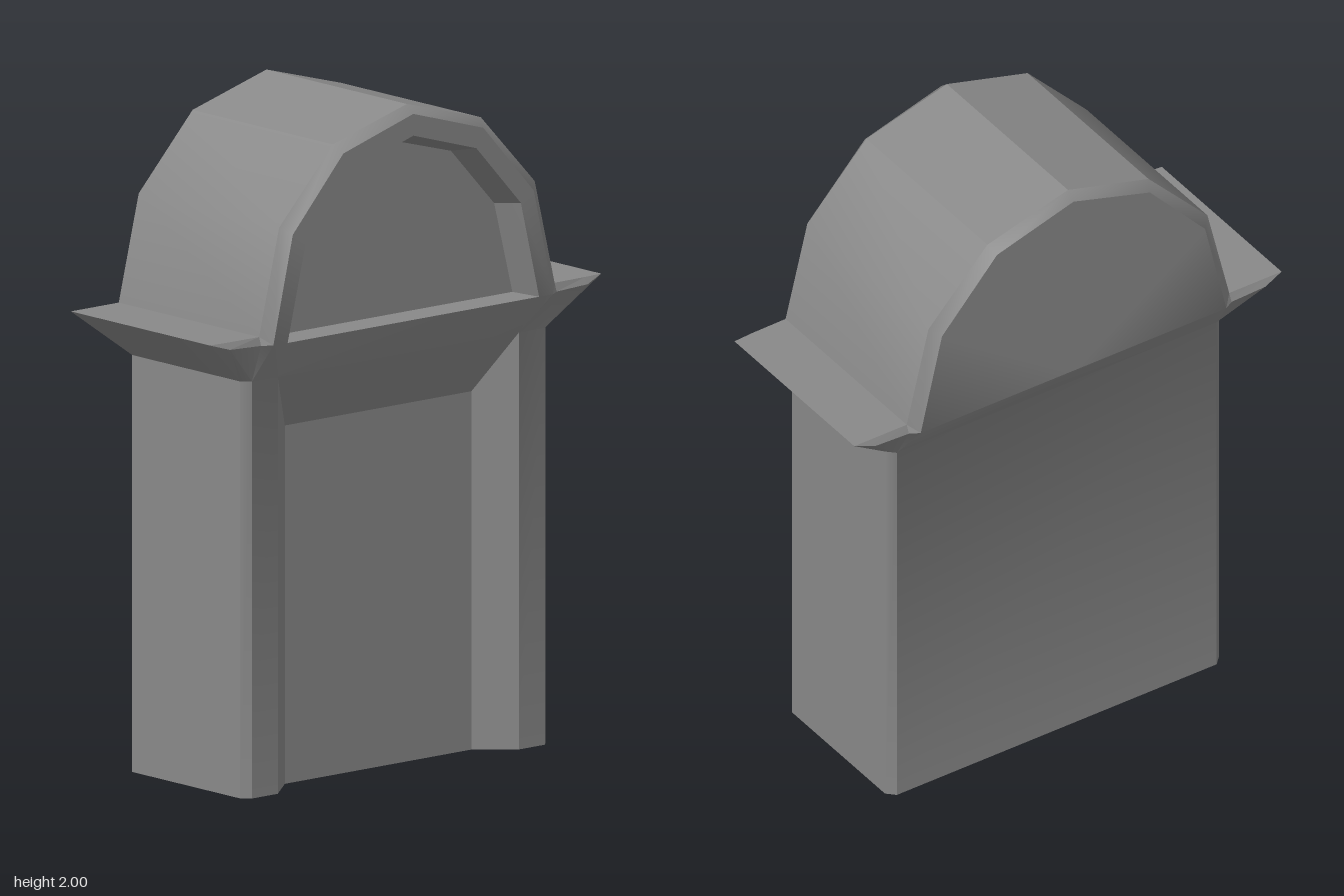
import * as THREE from 'three';
import { mergeGeometries, toCreasedNormals } from 'three/addons/utils/BufferGeometryUtils.js';

const material = new THREE.MeshStandardMaterial({ color: 0x898989, side: THREE.DoubleSide });

const toGeometry = (triangles) => new THREE.BufferGeometry()
  .setAttribute('position', new THREE.Float32BufferAttribute(triangles.flat(2), 3));

// Quads between successive cross-sections
function loft(rings, closed = false) {
  const tris = [];
  for (let k = 0; k < rings.length - 1; k++) {
    const a = rings[k], b = rings[k + 1], n = a.length;
    for (let i = 0; i < (closed ? n : n - 1); i++) {
      const j = (i + 1) % n;
      tris.push([a[i], a[j], b[j]], [a[i], b[j], b[i]]);
    }
  }
  return toGeometry(tris);
}

// Flat face spread from a centre point to a row of edge points
const fan = (centre, row) => toGeometry(row.slice(1).map((p, i) => [centre, row[i], p]));

// Mesh whose edges sharper than the crease angle (radians) stay hard
function part(name, geometries, crease = 0.1) {
  const mesh = new THREE.Mesh(toCreasedNormals(mergeGeometries(geometries), crease), material);
  mesh.name = name;
  return mesh;
}

// Complete a half section (x > 0) with its mirror image
const mirror = (half) => [...half, ...half.filter((p) => p[0] > 0).reverse().map(([x, y, z]) => [-x, y, z])];

export function createModel() {
  const group = new THREE.Group();

  // Arch outlines, from the foot to the crown
  const arch = (pts, z) => mirror(pts.map(([x, y]) => [x, y, z]));
  const outer = [[0.57, 1.385], [0.493, 1.7], [0.285, 1.92], [0, 2]];
  const rim = [[0.54, 1.36], [0.465, 1.68], [0.27, 1.895], [0, 1.975]];
  const opening = [[0.485, 1.36], [0.415, 1.65], [0.243, 1.838], [0, 1.91]];
  const panel = [[0.47, 1.36], [0.4, 1.635], [0.233, 1.815], [0, 1.88]];

  // Body walls: chamfered corners, recessed front, open underside
  const plan = [[0.36, 0.185], [0.465, 0.275], [0.565, 0.275], [0.59, 0.25], [0.59, -0.23], [0.565, -0.255]];
  const bodyRing = (y, recessY) => mirror(plan.map(([x, z], i) => [x, i === 0 ? recessY : y, z]));
  const walls = loft([bodyRing(0, 0), bodyRing(1.245, 1.07)], true);

  // Flared cornice between body and arch
  const lower = [[0.465, 0.275], [0.465, 0.275], [0.565, 0.275], [0.565, 0.275], [0.59, 0.25],
    [0.59, -0.23], [0.565, -0.255], [0.565, -0.255], [0.565, -0.255]].map(([x, z]) => [x, 1.245, z]);
  const upper = [[0.485, 1.36, 0.342], [0.54, 1.36, 0.342], [0.57, 1.36, 0.322], [0.69, 1.365, 0.322],
    [0.755, 1.385, 0.307], [0.755, 1.385, -0.313], [0.69, 1.365, -0.325], [0.57, 1.36, -0.325], [0.54, 1.36, -0.342]];
  const cornice = loft([mirror(lower), mirror(upper)], true);

  // Arch front frame and back face, blending softly into the cornice
  const frame = loft([arch(rim, 0.342), arch(opening, 0.342)]);
  const back = fan([0, 1.36, -0.342], arch(rim, -0.342).reverse());
  group.add(part('bodyAndCornice', [walls, cornice, frame, back], 0.68));

  // Sloped head of the front recess
  group.add(part('recessHead', [loft([
    [[-0.36, 1.07, 0.185], [0.36, 1.07, 0.185]],
    [[-0.465, 1.245, 0.275], [0.465, 1.245, 0.275]],
  ])]));

  // Cornice ledges with bevelled front and back edges
  for (const s of [1, -1]) {
    const row = (pts) => {
      const r = pts.map(([x, y, z]) => [s * x, y, z]);
      return s > 0 ? r : r.reverse();
    };
    group.add(part(s > 0 ? 'leftLedge' : 'rightLedge', [loft([
      row([[0.54, 1.36, 0.342], [0.57, 1.36, 0.322], [0.69, 1.365, 0.322], [0.755, 1.385, 0.307]]),
      row([[0.57, 1.385, 0.313], [0.57, 1.385, 0.313], [0.69, 1.385, 0.311], [0.755, 1.385, 0.307]]),
      row([[0.57, 1.385, -0.313], [0.57, 1.385, -0.313], [0.69, 1.385, -0.313], [0.755, 1.385, -0.313]]),
      row([[0.54, 1.36, -0.342], [0.57, 1.36, -0.325], [0.69, 1.365, -0.325], [0.755, 1.385, -0.313]]),
    ])]));
  }

  // Faceted arch roof with chamfered rims
  group.add(part('archRoof', [loft([
    arch(rim, -0.342), arch(outer, -0.313), arch(outer, 0.313), arch(rim, 0.342),
  ])], 0.53));

  // Recessed panel inside the arch, with sill
  group.add(part('archPanel', [
    loft([arch(opening, 0.342), arch(panel, 0.24)], true),
    fan([0, 1.36, 0.24], arch(panel, 0.24)),
  ]));

  return group;
}
